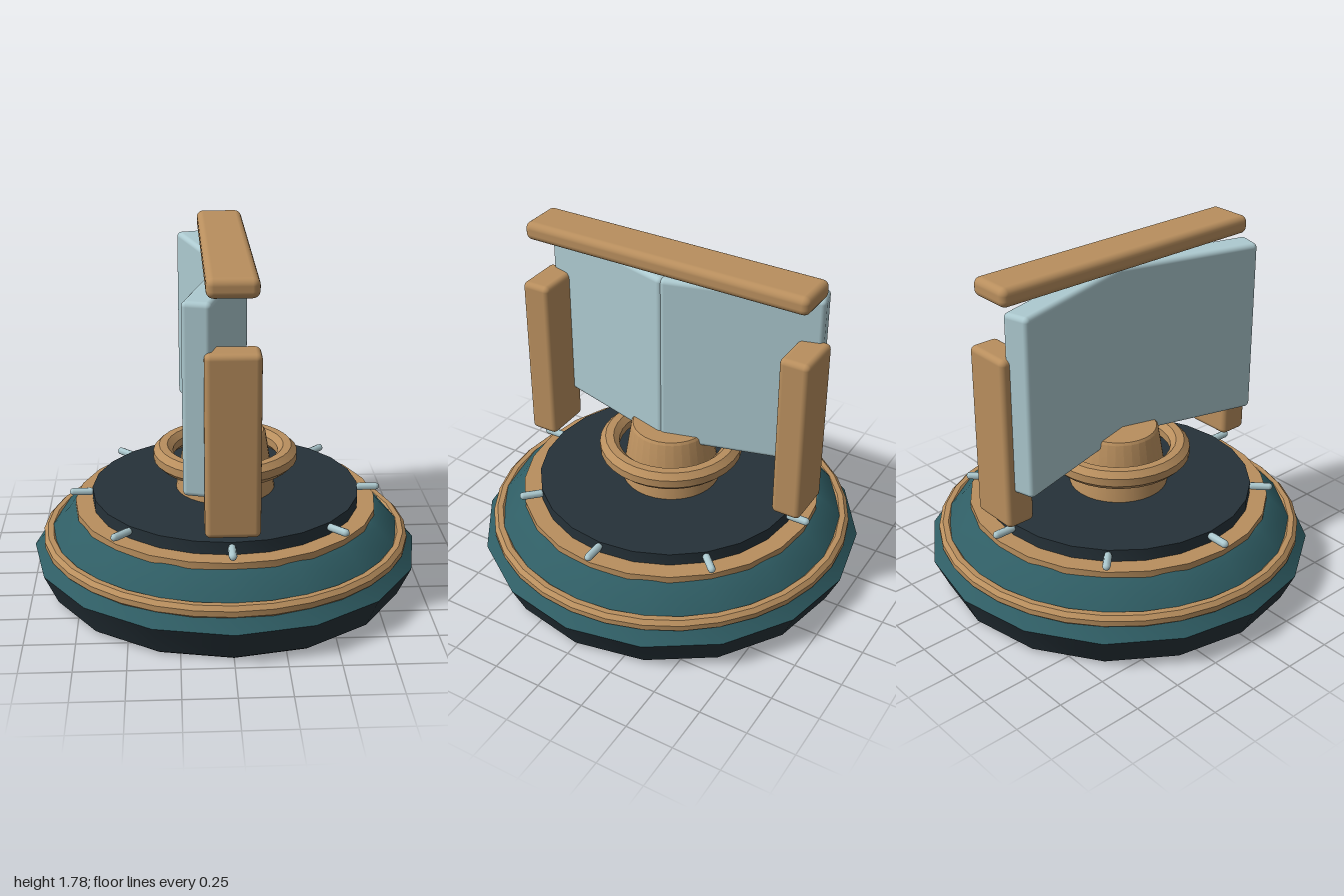
import * as THREE from 'three';
import { toCreasedNormals } from 'three/addons/utils/BufferGeometryUtils.js';
import { RoundedBoxGeometry } from 'three/addons/geometries/RoundedBoxGeometry.js';

const material = (name, color) => {
  const m = new THREE.MeshStandardMaterial({ color });
  m.name = name;
  return m;
};

export function createModel() {
  const model = new THREE.Group();
  const teal = material('teal', 0x2f5d64);
  const dark = material('dark slate', 0x263239);
  const tan = material('tan', 0xb98f5e);
  const pale = material('pale blue', 0xadcad0);

  const add = (name, geometry, mat, x = 0, y = 0, z = 0) => {
    const mesh = new THREE.Mesh(geometry, mat);
    mesh.name = name;
    mesh.position.set(x, y, z);
    model.add(mesh);
    return mesh;
  };

  // Turned parts: profile of [radius, height], bottom to top
  const turned = (name, profile, mat, sides) => {
    const pts = profile.map(([r, y]) => new THREE.Vector2(r, y));
    return add(name, toCreasedNormals(new THREE.LatheGeometry(pts, sides), 0.5), mat);
  };

  // Closed ring with an eight-sided section
  const ring = (name, radius, y, tube, sides) => {
    const profile = [];
    for (let i = 0; i <= 8; i++) {
      const a = ((i - 0.5) * Math.PI) / 4;
      const r = tube / Math.cos(Math.PI / 8);
      profile.push([radius + r * Math.cos(a), y + r * Math.sin(a)]);
    }
    return turned(name, profile, tan, sides);
  };

  // Base
  turned('baseFoot', [[0, 0], [0.91, 0], [0.93, 0.015], [1, 0.17], [0, 0.17]], dark, 16);
  turned('baseBody', [[1, 0.17], [0.95, 0.225], [0.895, 0.29], [0.815, 0.375], [0.78, 0.395], [0, 0.395]], teal, 16);
  ring('baseTrim', 0.915, 0.25, 0.034, 32);
  turned('trimDisc', [[0, 0.39], [0.78, 0.39], [0.78, 0.425], [0, 0.425]], tan, 24);
  turned('turntable', [[0, 0.42], [0.69, 0.42], [0.69, 0.49], [0, 0.49]], dark, 24);

  // Marker pins around the turntable
  for (let i = 0; i < 8; i++) {
    const a = (i * Math.PI) / 4;
    const pin = add('markerPin', new THREE.CapsuleGeometry(0.02, 0.09, 3, 8), pale,
      0.743 * Math.cos(a), 0.465, 0.743 * Math.sin(a));
    pin.rotation.set(0, -a, Math.PI / 2);
  }

  // Hub and collar
  turned('hub', [[0, 0.48], [0.257, 0.48], [0.207, 0.79], [0.197, 0.803], [0, 0.803]], tan, 32);
  ring('hubCollar', 0.32, 0.672, 0.05, 32);

  // Two angled panels and two end posts
  for (const s of [1, -1]) {
    const panel = add('panel', new RoundedBoxGeometry(0.14, 0.925, 0.8, 3, 0.025), pale, -0.06, 1.2125, s * 0.365);
    panel.rotation.y = -s * 0.267;
    add('endPost', new RoundedBoxGeometry(0.26, 0.89, 0.155, 3, 0.028), tan, 0, 1.005, s * 0.7255);
  }

  // Beam across the top
  add('topBeam', new RoundedBoxGeometry(0.24, 0.095, 1.55, 3, 0.035), tan, 0, 1.7375, 0);

  return model;
}
